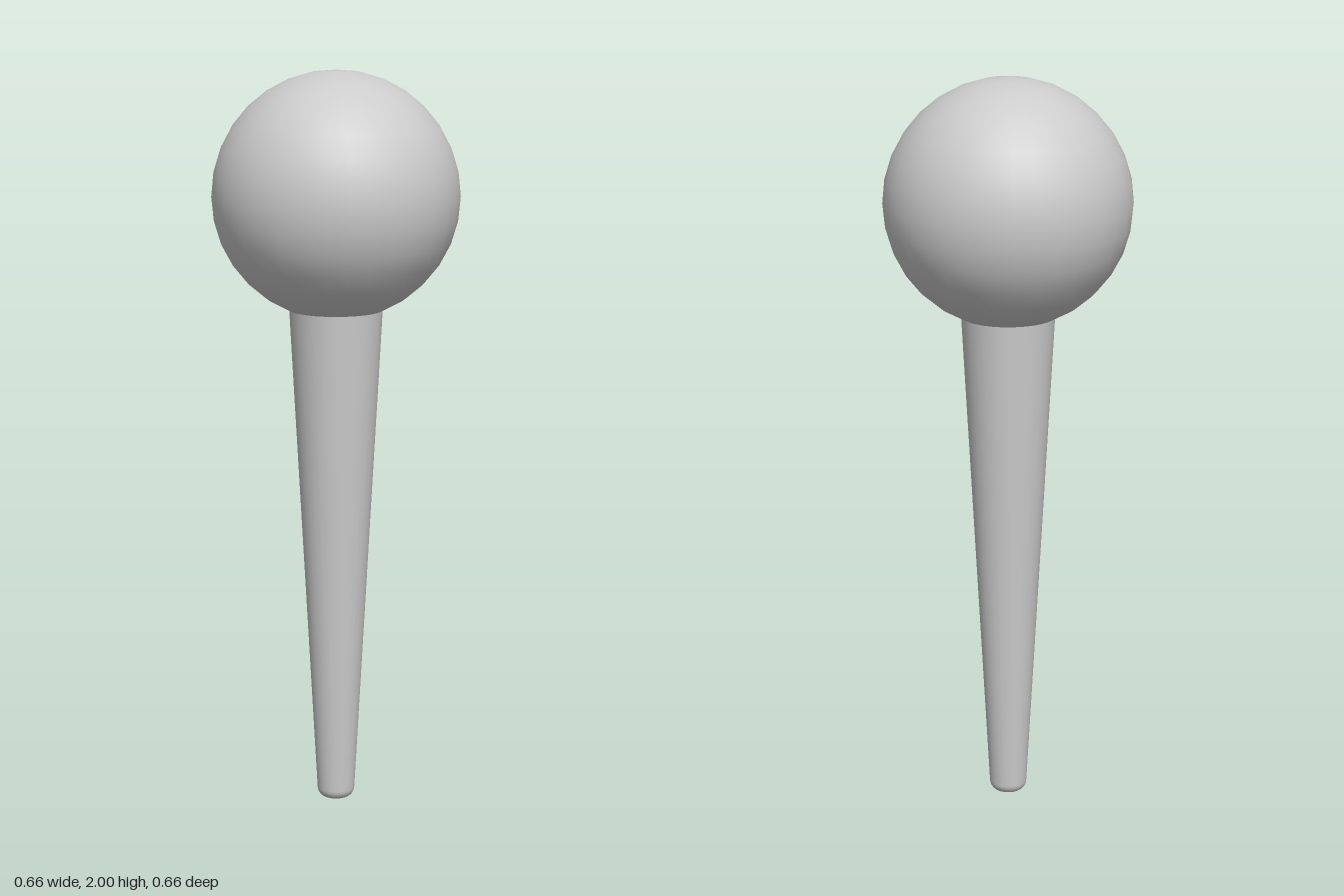
import * as THREE from 'three';

export function createModel() {
  const group = new THREE.Group();
  const material = new THREE.MeshStandardMaterial({ color: 0xcccccc });
  const add = (name, geometry, y = 0) => {
    const mesh = new THREE.Mesh(geometry, material);
    mesh.name = name;
    mesh.position.y = y;
    group.add(mesh);
  };

  // Round head
  const radius = 0.33;
  add('ballHead', new THREE.SphereGeometry(radius, 32, 16), 2 - radius);

  // Tapered shaft with a softly rounded foot, its top sunk into the head
  const footRadius = 0.051, bevel = 0.028;
  const profile = [new THREE.Vector2(0, 0)];
  for (let i = 0; i <= 6; i++) {
    const a = (i / 6) * Math.PI / 2;
    profile.push(new THREE.Vector2(
      footRadius - bevel + bevel * Math.sin(a),
      bevel - bevel * Math.cos(a)
    ));
  }
  profile.push(new THREE.Vector2(0.126, 1.38));
  add('taperedShaft', new THREE.LatheGeometry(profile, 32));

  return group;
}
